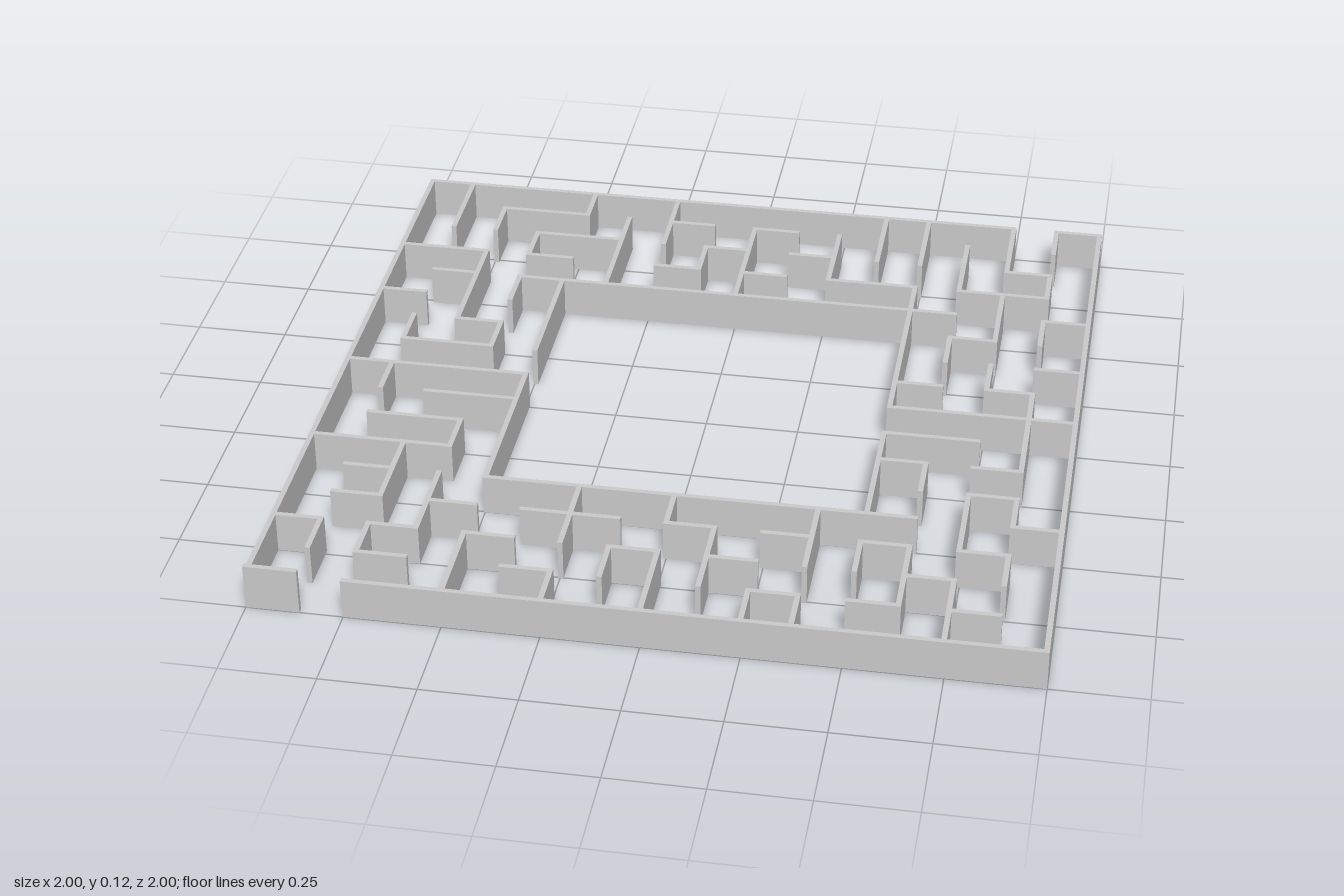
import * as THREE from 'three';

// The maze lies on a 16 x 16 grid; line k sits at line(k)
const T = 0.014, HEIGHT = 0.11, ENTRANCE_HEIGHT = 0.125;
const STEP = (2 - T) / 16;
const line = k => -1 + T / 2 + k * STEP;

// Walls along x: for each grid row from back to front, [start, end] columns
const ROWS = [
  [[0, 14], [15, 16]],
  [[2, 4], [6, 7], [8, 9]],
  [[3, 5], [7, 8], [9, 10], [14, 15]],
  [[0, 2], [3, 4], [6, 7], [8, 9], [10, 12], [13, 15]],
  [[1, 2], [3, 13], [15, 16]],
  [[0, 1], [13, 14]],
  [[2, 3], [15, 16]],
  [[1, 3], [12, 13], [14, 15]],
  [[0, 4], [12, 16]],
  [[2, 4], [12, 14]],
  [[1, 3], [12, 13], [14, 15]],
  [[0, 3], [14, 15]],
  [[1, 2], [4, 13], [15, 16]],
  [[1, 2], [3, 4], [5, 7], [8, 9], [10, 11], [12, 13], [14, 15]],
  [[0, 1], [2, 3], [4, 5], [7, 8], [9, 10], [13, 14]],
  [[2, 3], [5, 6], [10, 11], [12, 13], [14, 15]],
  [[0, 1], [2, 16]],
];

// Walls along z: for each grid column from -x to +x, [start, end] rows
const COLUMNS = [
  [[0, 16]],
  [[0, 2], [6, 7], [8, 9], [14, 15]],
  [[1, 2], [3, 6], [11, 13], [14, 15]],
  [[2, 3], [4, 5], [6, 7], [10, 11], [12, 14]],
  [[0, 1], [4, 7], [8, 12], [14, 16]],
  [[1, 4]],
  [[0, 2], [12, 14], [15, 16]],
  [[2, 3], [14, 15]],
  [[1, 4], [12, 13], [14, 16]],
  [[13, 15]],
  [[1, 3], [15, 16]],
  [[0, 2], [12, 14], [15, 16]],
  [[0, 2], [3, 8], [9, 12], [13, 14]],
  [[1, 3], [5, 6], [10, 11], [13, 15]],
  [[0, 2], [3, 5], [6, 7], [11, 13], [14, 16]],
  [[0, 1], [2, 3], [4, 5], [7, 10], [11, 12], [13, 14]],
  [[0, 16]],
];

export function createModel() {
  const maze = new THREE.Group();
  maze.name = 'maze';
  const material = new THREE.MeshStandardMaterial({ color: 0xcccccc, flatShading: true });

  // One straight wall, extended half a thickness past both end nodes
  function addWall(k, [start, end], alongX) {
    const length = (end - start) * STEP + T;
    const middle = line((start + end) / 2);
    const isEntrance = alongX && k === 16 && start === 0;
    const h = isEntrance ? ENTRANCE_HEIGHT : HEIGHT;
    const wall = new THREE.Mesh(
      new THREE.BoxGeometry(alongX ? length : T, h, alongX ? T : length), material);
    wall.position.set(alongX ? middle : line(k), h / 2, alongX ? line(k) : middle);
    const outer = k === 0 || k === 16;
    wall.name = isEntrance ? 'entranceWall' : outer ? 'outerWall' : 'innerWall';
    maze.add(wall);
  }

  ROWS.forEach((spans, k) => spans.forEach(s => addWall(k, s, true)));
  COLUMNS.forEach((spans, k) => spans.forEach(s => addWall(k, s, false)));
  return maze;
}
